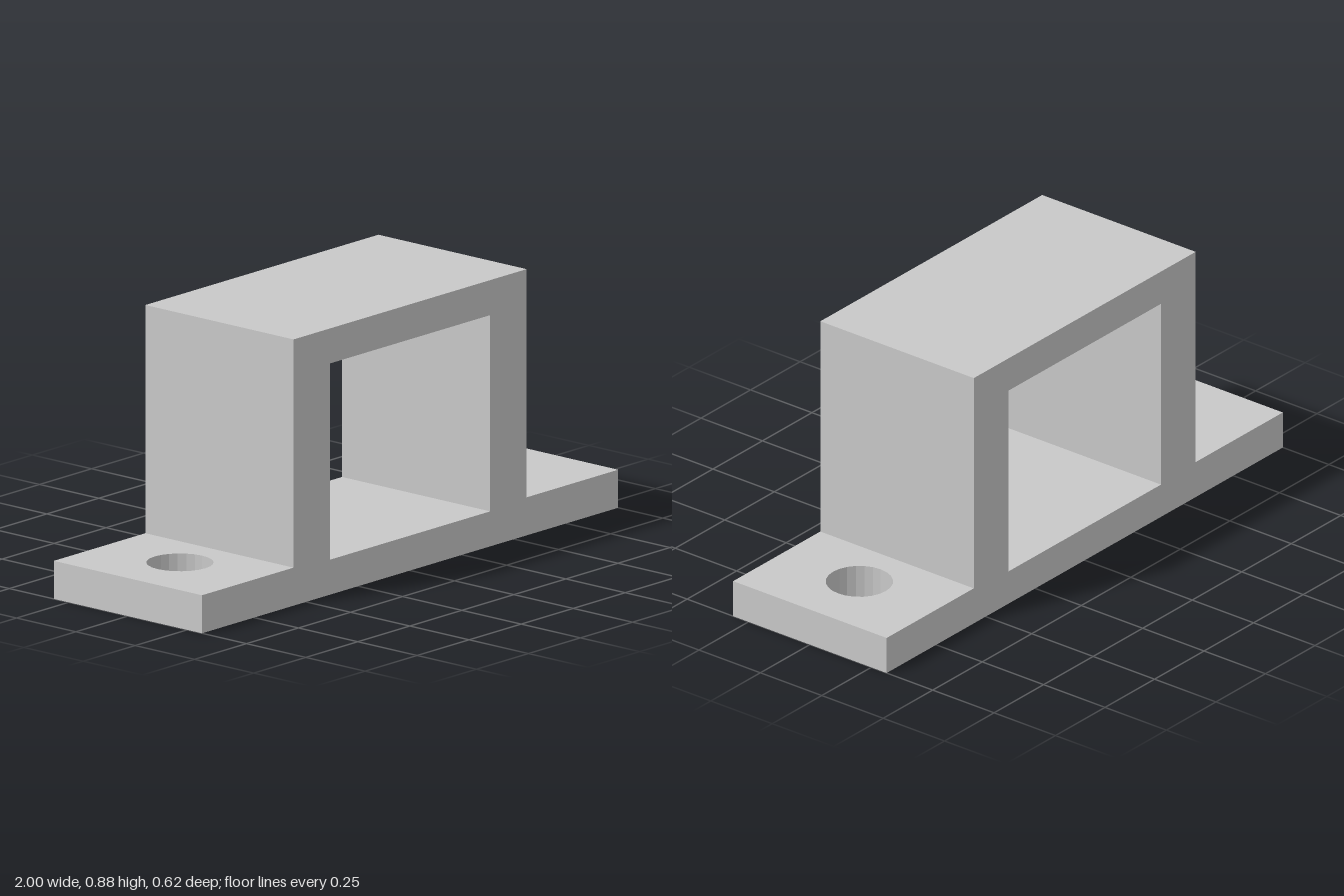
import * as THREE from 'three';

const DEPTH = 0.625;      // front to back
const BLOCK = 0.56;       // half width of the raised block
const BASE = 0.125;       // flange thickness

// Closed outline of a rectangle, as a shape or a hole
function rect(path, x0, y0, x1, y1) {
  return path.moveTo(x0, y0).lineTo(x1, y0).lineTo(x1, y1).lineTo(x0, y1).closePath();
}

export function createModel() {
  const model = new THREE.Group();
  model.name = 'mountingBracket';
  const grey = new THREE.MeshStandardMaterial({ color: 0xc8c8c8 });
  grey.name = 'lightGrey';

  // Raised block with a rectangular opening running front to back
  const frame = rect(new THREE.Shape(), -BLOCK, 0, BLOCK, 0.875);
  frame.holes.push(rect(new THREE.Path(), -0.385, 0.115, 0.385, 0.76));
  const frameGeometry = new THREE.ExtrudeGeometry(frame, { depth: DEPTH, bevelEnabled: false });
  frameGeometry.translate(0, 0, -DEPTH / 2);
  const block = new THREE.Mesh(frameGeometry, grey);
  block.name = 'hollowBlock';
  model.add(block);

  // Flanges on both sides, each with a bolt hole
  for (const side of [-1, 1]) {
    const inner = side * BLOCK;
    const plate = rect(new THREE.Shape(), Math.min(inner, side), -DEPTH / 2, Math.max(inner, side), DEPTH / 2);
    plate.holes.push(new THREE.Path().absarc(side * 0.75, 0, 0.107, 0, Math.PI * 2, true));
    const geometry = new THREE.ExtrudeGeometry(plate, { depth: BASE, bevelEnabled: false, curveSegments: 12 });
    geometry.rotateX(-Math.PI / 2);
    const flange = new THREE.Mesh(geometry, grey);
    flange.name = side > 0 ? 'leftFlange' : 'rightFlange';
    model.add(flange);
  }
  return model;
}
